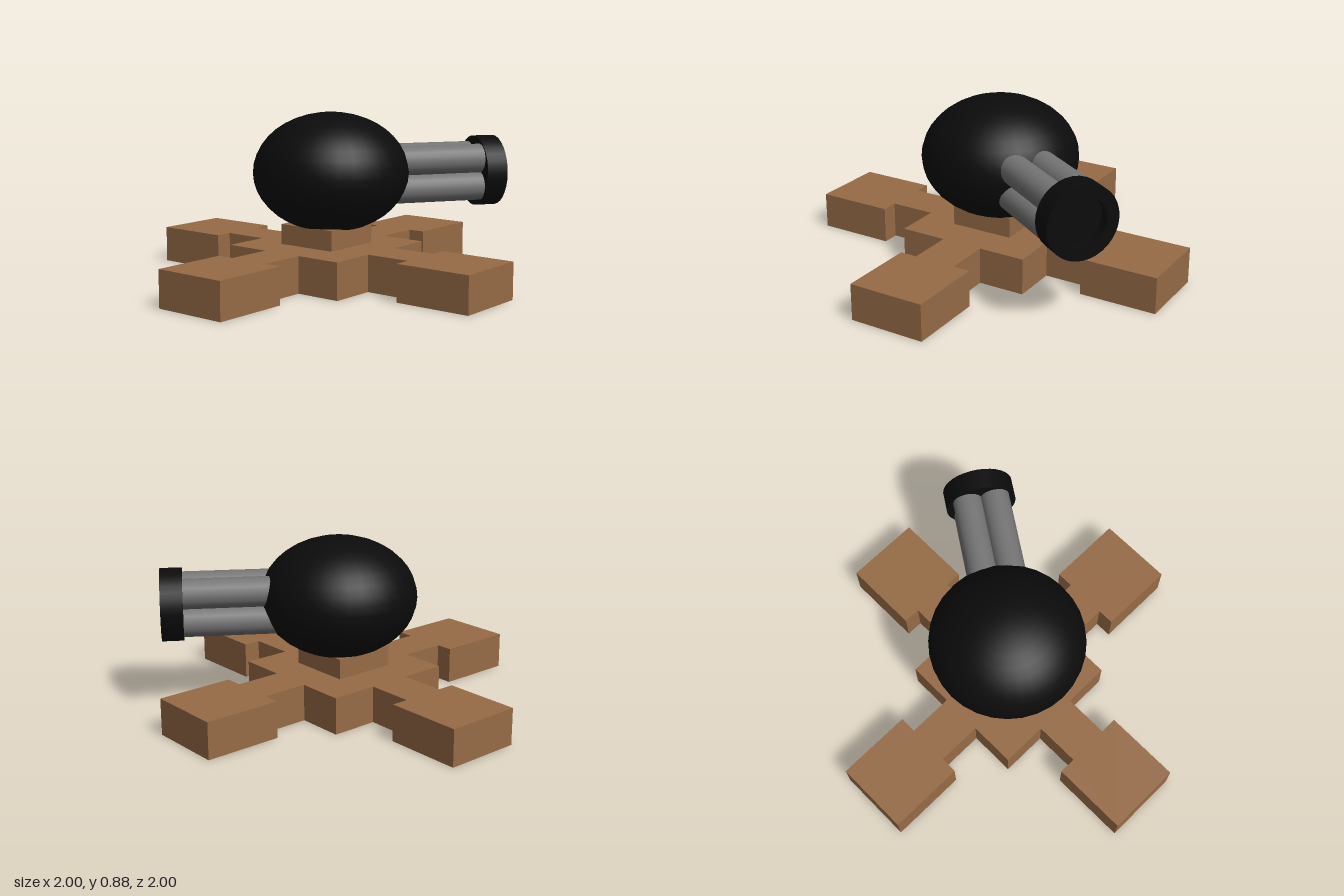
import * as THREE from 'three';

const wood = new THREE.MeshStandardMaterial({ color: 0x966b46 });
wood.name = 'wood brown';
const black = new THREE.MeshStandardMaterial({ color: 0x0b0b0b });
black.name = 'black';
const steel = new THREE.MeshStandardMaterial({ color: 0x757575 });
steel.name = 'steel grey';

function add(parent, name, geometry, material, x = 0, y = 0, z = 0) {
  const mesh = new THREE.Mesh(geometry, material);
  mesh.name = name;
  mesh.position.set(x, y, z);
  parent.add(mesh);
  return mesh;
}

export function createModel() {
  const model = new THREE.Group();
  model.name = 'turret';

  // Cross-shaped base: one quarter of the outline, turned four times
  const quarter = [[0.355, 0.355], [0.11, 0.355], [0.11, 0.595], [0.2, 0.595],
    [0.2, 1], [-0.2, 1], [-0.2, 0.595], [-0.11, 0.595], [-0.11, 0.355]];
  const outline = [];
  for (let i = 0; i < 4; i++) {
    for (const [x, y] of quarter) {
      outline.push(new THREE.Vector2(x, y).rotateAround(new THREE.Vector2(), i * Math.PI / 2));
    }
  }
  const base = new THREE.ExtrudeGeometry(new THREE.Shape(outline), { depth: 0.19, bevelEnabled: false });
  base.rotateX(-Math.PI / 2);
  add(model, 'base', base, wood);

  // Pedestal under the body
  add(model, 'pedestal', new THREE.BoxGeometry(0.335, 0.115, 0.335), wood, 0, 0.2375, 0);

  // Flattened round body
  const body = add(model, 'body', new THREE.SphereGeometry(1, 32, 20), black, 0.02, 0.565, 0.012);
  body.scale.set(0.405, 0.31, 0.403);

  // Gun, built along its own +z and then swung towards the front left
  const gun = new THREE.Group();
  gun.name = 'gun';
  gun.position.set(0, 0.545, 0.02);
  gun.rotation.y = Math.PI / 2 - 0.583;
  model.add(gun);

  // Four barrels bundled two by two
  for (const sx of [-1, 1]) {
    for (const sy of [-1, 1]) {
      const barrel = new THREE.CylinderGeometry(0.077, 0.077, 0.74, 20);
      barrel.rotateX(Math.PI / 2);
      add(gun, 'barrel', barrel, steel, sx * 0.073, sy * 0.073, 0.47);
    }
  }

  // Muzzle collar with a recessed face; hard edges come from separate strips
  const profile = [[0, 0.81], [0.187, 0.81], [0.187, 0.922], [0.125, 0.922], [0.125, 0.87], [0, 0.87]];
  const muzzle = new THREE.Group();
  muzzle.name = 'muzzle';
  gun.add(muzzle);
  for (let i = 0; i < profile.length - 1; i++) {
    const strip = new THREE.LatheGeometry(
      [profile[i], profile[i + 1]].map(([r, h]) => new THREE.Vector2(r, h)), 32);
    strip.rotateX(Math.PI / 2);
    add(muzzle, 'muzzleRing', strip, black);
  }
  return model;
}
